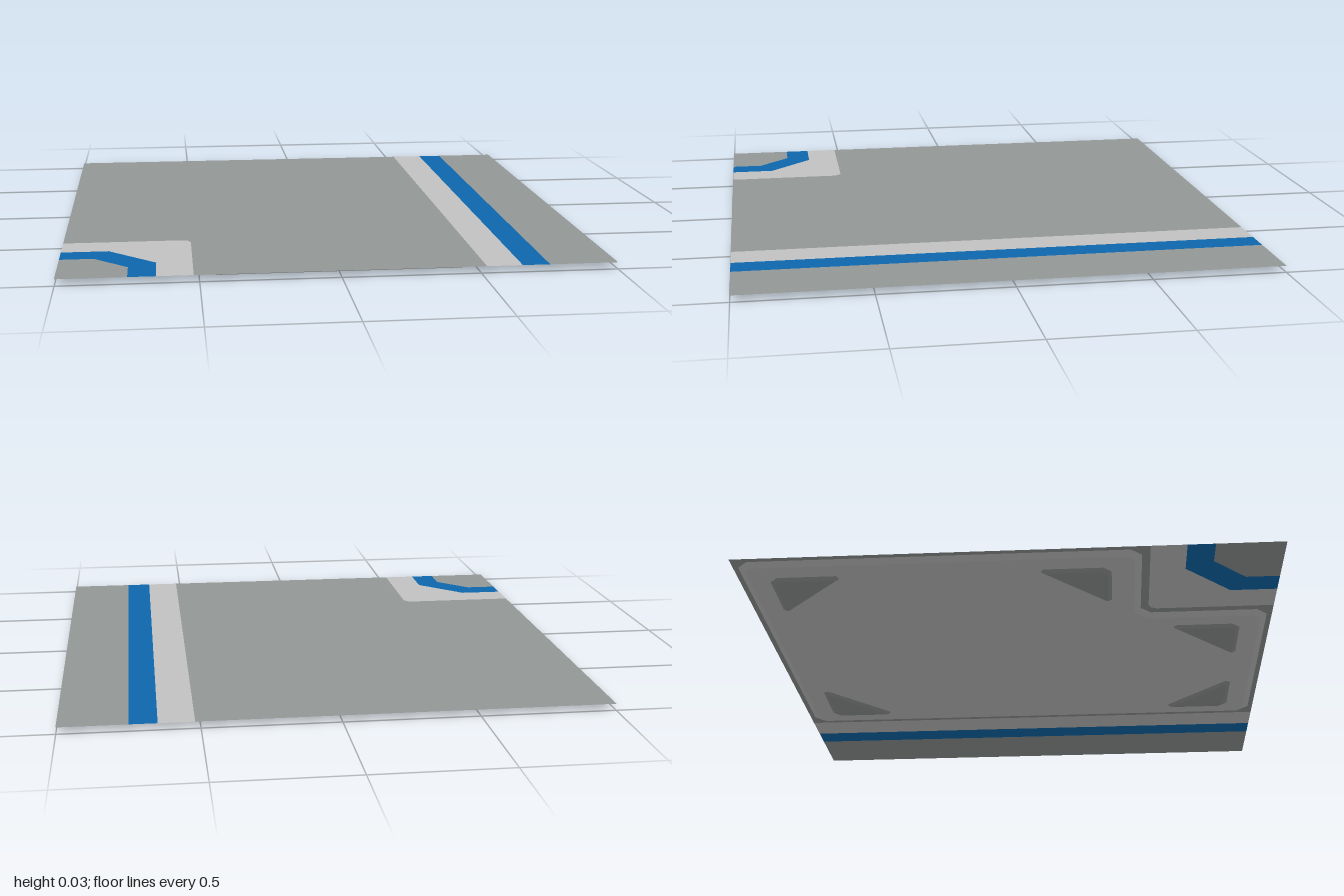
import * as THREE from 'three';

const TOP = 0.025;
const material = (name, hex, side = THREE.FrontSide) => {
  const m = new THREE.MeshStandardMaterial({ color: hex, side });
  m.name = name;
  return m;
};

// Plan coordinates are [x, z]; shapes are drawn with y = -z and then laid flat.
const toVectors = (points) => points.map(([x, z]) => new THREE.Vector2(x, -z));

// Cuts every corner of a closed outline at distance c along its edges.
function chamfer(points, c) {
  return points.flatMap((p, i) => {
    const n = points.length;
    return [points[(i + n - 1) % n], points[(i + 1) % n]].map((q) =>
      p.clone().add(q.clone().sub(p).setLength(c)));
  });
}

// Moves every edge of a counter-clockwise outline inwards by d.
function insetOutline(points, d) {
  const n = points.length;
  const normal = (a, b) => new THREE.Vector2(a.y - b.y, b.x - a.x).normalize();
  return points.map((p, i) => {
    const n0 = normal(points[(i + n - 1) % n], p);
    const n1 = normal(p, points[(i + 1) % n]);
    return p.clone().addScaledVector(n0.clone().add(n1), d / (1 + n0.dot(n1)));
  });
}

// Slab with sloping sides, narrower at the bottom; its top is hidden.
function taperedSlab(outline, inset, bottom, top) {
  const upper = THREE.ShapeUtils.isClockWise(outline) ? outline.slice().reverse() : outline;
  const lower = insetOutline(upper, inset);
  const pos = [];
  const add = (p, h) => pos.push(p.x, h, -p.y);
  upper.forEach((a, i) => {
    const j = (i + 1) % upper.length;
    const b = upper[j];
    add(lower[i], bottom); add(lower[j], bottom); add(b, top);
    add(lower[i], bottom); add(b, top); add(a, top);
  });
  for (const [a, b, c] of THREE.ShapeUtils.triangulateShape(lower, [])) {
    add(lower[a], bottom); add(lower[c], bottom); add(lower[b], bottom);
  }
  const geo = new THREE.BufferGeometry();
  geo.setAttribute('position', new THREE.Float32BufferAttribute(pos, 3));
  geo.computeVertexNormals();
  return geo;
}

export function createModel() {
  const model = new THREE.Group();
  model.name = 'floorTile';

  const ground = material('groundGrey', 0x929695, THREE.DoubleSide);
  const pale = material('paleGrey', 0xc1c1c1, THREE.DoubleSide);
  const blue = material('stripeBlue', 0x0d67ac, THREE.DoubleSide);

  const addMesh = (name, geo, mat) => {
    const mesh = new THREE.Mesh(geo, mat);
    mesh.name = name;
    model.add(mesh);
  };
  const addSheet = (name, points, mat) => {
    const geo = new THREE.ShapeGeometry(new THREE.Shape(toVectors(points)));
    addMesh(name, geo.rotateX(-Math.PI / 2).translate(0, TOP, 0), mat);
  };
  const strip = (x0, x1) => [[x0, -1], [x1, -1], [x1, 1], [x0, 1]];

  // Outlines shared by neighbouring areas of the corner
  const kerbEdge = [[-1, 0.52], [-0.55, 0.52], [-0.53, 0.53], [-0.52, 0.55], [-0.52, 1]];
  const stripeOuter = [[-1, 0.65], [-0.825, 0.65], [-0.65, 0.825], [-0.65, 1]];
  const stripeInner = [[-1, 0.75], [-0.875, 0.75], [-0.75, 0.875], [-0.75, 1]];
  const between = (a, b) => [...a, ...b.slice().reverse()];

  // Flat top surface, area by area
  addSheet('mainFloor', [[-1, -1], [0.52, -1], [0.52, 1], ...kerbEdge.slice().reverse()], ground);
  addSheet('straightKerb', strip(0.52, 0.65), pale);
  addSheet('straightStripe', strip(0.65, 0.75), blue);
  addSheet('sideFloor', strip(0.75, 1), ground);
  addSheet('cornerKerb', between(kerbEdge, stripeOuter), pale);
  addSheet('cornerStripe', between(stripeOuter, stripeInner), blue);
  addSheet('cornerFloor', [...stripeInner, [-1, 1]], ground);

  // Notched slab under the main floor
  const slab = toVectors([
    [-0.98, -0.98], [0.49, -0.98], [0.49, 0.98], [-0.49, 0.98], [-0.49, 0.49], [-0.98, 0.49],
  ]);
  addMesh('underSlab', taperedSlab(chamfer(slab, 0.04), 0.025, 0.01, TOP - 0.001), pale);

  // Triangular feet: corner position and the directions of the two legs
  const feet = [
    [0.4, -0.88, -1, 1], [-0.88, -0.88, 1, 1], [0.4, 0.88, -1, -1],
    [-0.4, 0.88, 1, -1], [-0.88, 0.38, 1, -1],
  ];
  for (const [x, z, sx, sz] of feet) {
    const triangle = toVectors([[x, z], [x + 0.28 * sx, z], [x, z + 0.28 * sz]]);
    addMesh('foot', taperedSlab(chamfer(triangle, 0.03), 0.015, 0, 0.01), ground);
  }

  return model;
}
